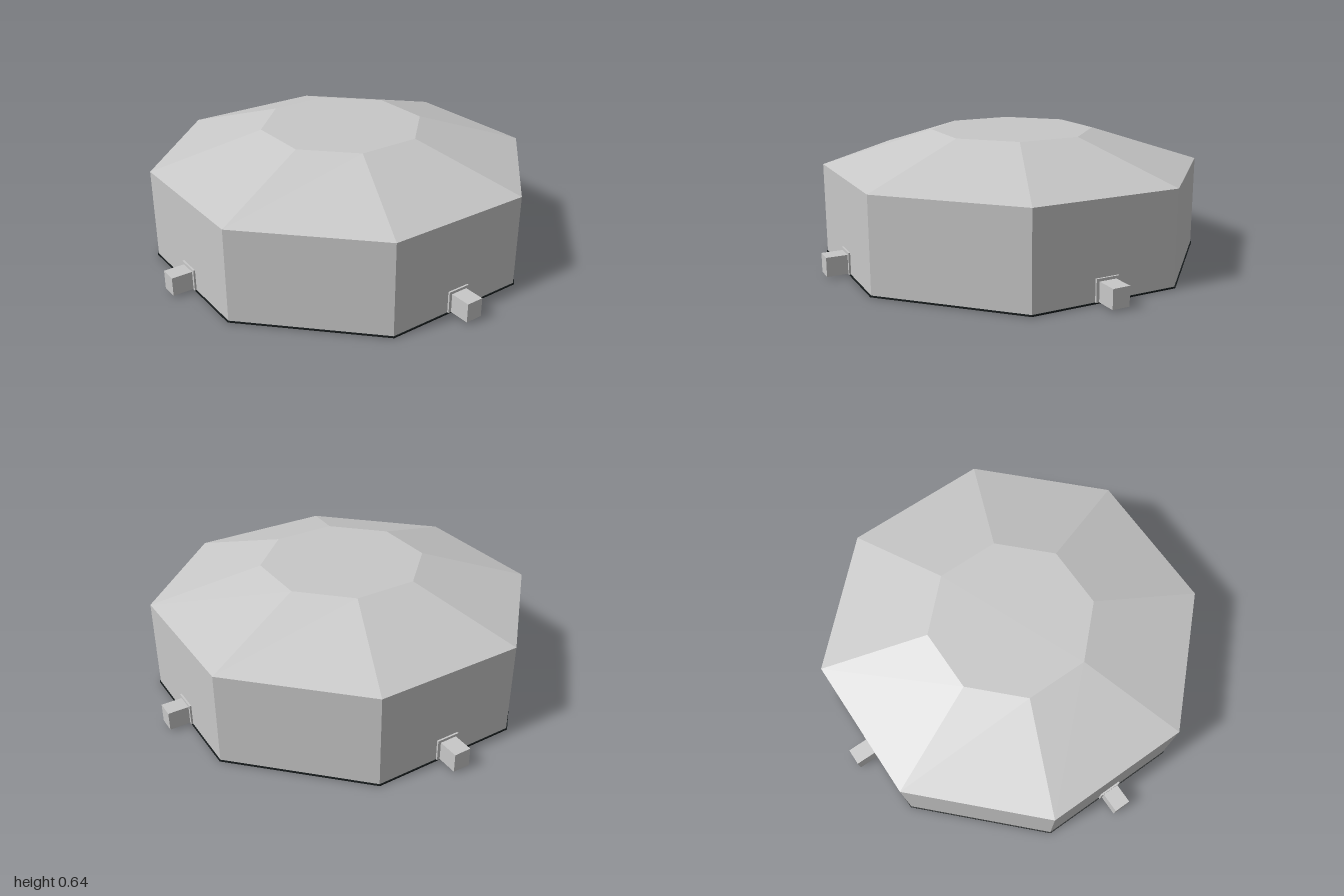
import * as THREE from 'three';

export function createModel() {
  const model = new THREE.Group();
  const grey = new THREE.MeshStandardMaterial({ color: 0xc8c8c8 });
  grey.name = 'lightGrey';
  grey.flatShading = true;
  const dark = new THREE.MeshStandardMaterial({ color: 0x171c1d });
  dark.name = 'nearBlack';
  dark.flatShading = true;

  const add = (name, geometry, material, parent = model) => {
    const mesh = new THREE.Mesh(geometry, material);
    mesh.name = name;
    parent.add(mesh);
    return mesh;
  };

  // Octagonal prism from apothems, with flat sides facing the axes
  const k = 1 / Math.cos(Math.PI / 8);
  const octagon = (top, bottom, y0, y1, open = false) =>
    new THREE.CylinderGeometry(top * k, bottom * k, y1 - y0, 8, 1, open)
      .rotateY(Math.PI / 8)
      .translate(0, (y0 + y1) / 2, 0);

  // Walls, and a sloped roof with a flat centre
  add('walls', octagon(0.889, 0.889, 0.008, 0.467, true), grey);
  add('roof', octagon(0.38, 0.889, 0.467, 0.638), grey);

  // Thin floor plate, with a raised hub underneath
  add('floor', octagon(0.894, 0.894, 0.003, 0.01), dark);
  add('hub', octagon(0.25, 0.25, 0.001, 0.004), dark);
  add('hubDisc', new THREE.CylinderGeometry(0.1, 0.1, 0.004, 24).translate(0, 0.002, 0), grey);

  // Seams on the underside: spokes to the corners and a border along the edges
  for (let i = 0; i < 8; i++) {
    const spoke = add('floorSpoke', new THREE.BoxGeometry(0.012, 0.003, 0.69).translate(0, 0.0025, 0.595), grey);
    spoke.rotation.y = (i + 0.5) * Math.PI / 4;
    const border = add('floorBorder', new THREE.BoxGeometry(0.72, 0.003, 0.012).translate(0, 0.0025, 0.868), grey);
    border.rotation.y = i * Math.PI / 4;
  }

  // Four connector blocks, each with a thin flange on the wall
  for (let i = 0; i < 4; i++) {
    const connector = new THREE.Group();
    connector.name = 'connector';
    connector.rotation.y = i * Math.PI / 2;
    add('connectorBlock', new THREE.BoxGeometry(0.086, 0.094, 0.115).translate(0, 0.058, 0.9425), grey, connector);
    add('connectorFlange', new THREE.BoxGeometry(0.116, 0.108, 0.012).translate(0, 0.064, 0.892), grey, connector);
    model.add(connector);
  }
  return model;
}
